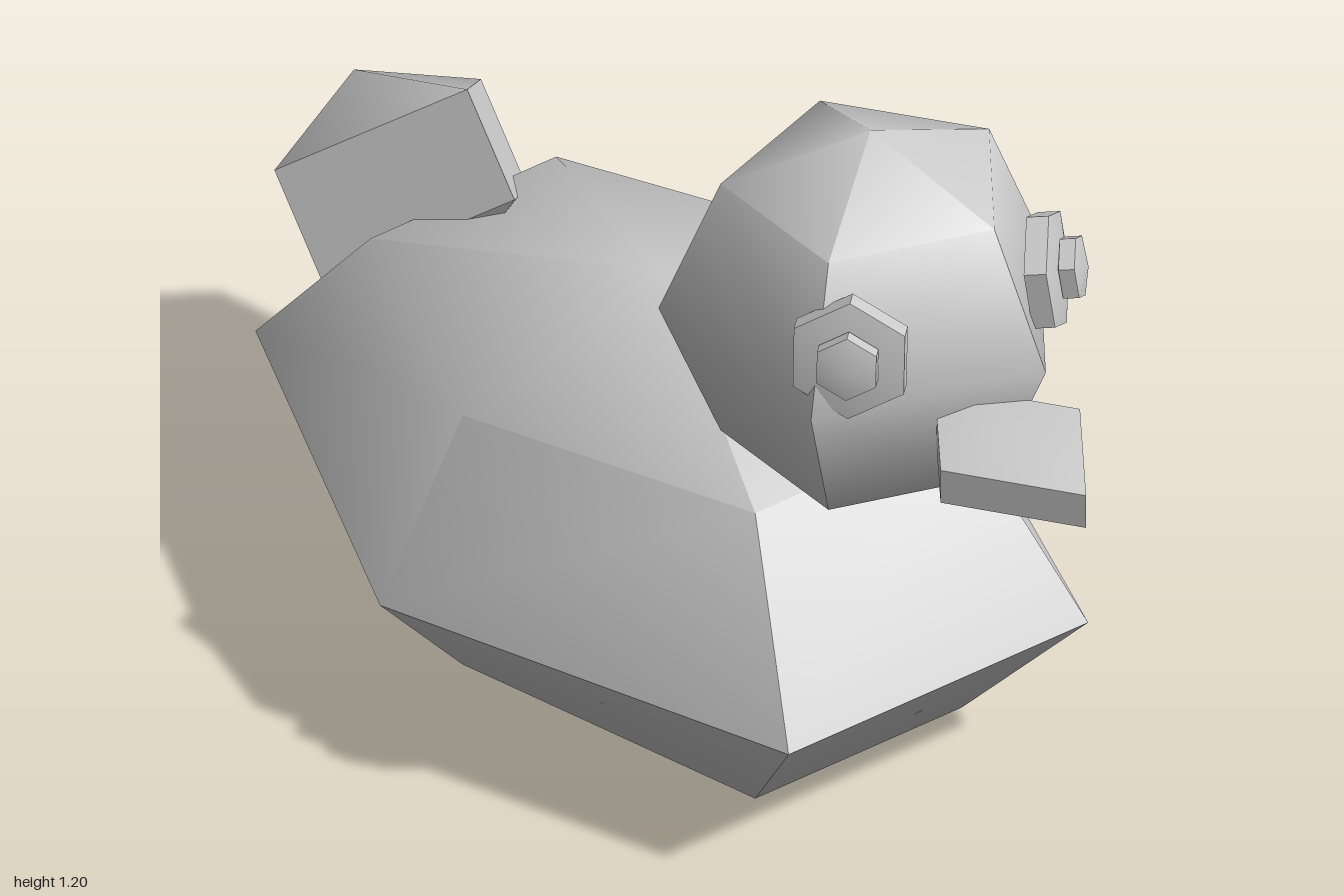
import * as THREE from 'three';
import { toCreasedNormals } from 'three/addons/utils/BufferGeometryUtils.js';

const CREASE = THREE.MathUtils.degToRad(50);

export function createModel() {
  const model = new THREE.Group();
  model.name = 'duck';
  const plainGrey = new THREE.MeshStandardMaterial({ color: 0xcccccc });
  plainGrey.name = 'plainGrey';

  function add(name, geometry, x = 0, y = 0, z = 0) {
    const mesh = new THREE.Mesh(toCreasedNormals(geometry, CREASE), plainGrey);
    mesh.name = name;
    mesh.position.set(x, y, z);
    model.add(mesh);
    return mesh;
  }

  // Coarse sphere whose rings reach the given half sizes; the poles stand at +-halfHeight
  function gem(sides, halfX, halfHeight, halfZ) {
    const ring = Math.sin(Math.PI / 3);
    return new THREE.SphereGeometry(1, sides, 3).scale(halfX / ring, halfHeight, halfZ / ring);
  }

  // Body: three six-sided rings, each given as [x, y, z] for its side, back and front corners
  function bodyGeometry() {
    const rings = [
      { side: [0.38, 0.075, -0.07], back: [0.18, 0.055, -0.56], front: [0.2, 0.023, 0.43] },
      { side: [0.54, 0.253, -0.07], back: [0.24, 0.253, -0.77], front: [0.29, 0.253, 0.63] },
      { side: [0.38, 0.54, -0.07], back: [0.18, 0.515, -0.56], front: [0.2, 0.555, 0.43] },
    ];
    const mirror = ([x, y, z]) => [-x, y, z];
    const points = [[0, 0, -0.06]];
    for (const { side, back, front } of rings) {
      points.push(side, back, mirror(back), mirror(side), mirror(front), front);
    }
    points.push([0, 0.655, -0.06]);
    const top = points.length - 1;
    const at = (ring, i) => 1 + ring * 6 + (i % 6);
    const index = [];
    for (let i = 0; i < 6; i++) {
      index.push(0, at(0, i + 1), at(0, i));
      for (let r = 0; r < 2; r++) {
        index.push(at(r, i), at(r, i + 1), at(r + 1, i + 1));
        index.push(at(r, i), at(r + 1, i + 1), at(r + 1, i));
      }
      index.push(at(2, i), at(2, i + 1), top);
    }
    const geometry = new THREE.BufferGeometry();
    geometry.setAttribute('position', new THREE.Float32BufferAttribute(points.flat(), 3));
    geometry.setIndex(index);
    return geometry;
  }
  add('body', bodyGeometry());

  // Head: five-sided ball with one corner towards +x
  add('head', new THREE.SphereGeometry(0.325, 5, 4).rotateY(Math.PI), 0, 0.876, 0.46);

  // Beak and upturned tail share the same diamond form
  add('beak', gem(4, 0.135, 0.06, 0.19), 0, 0.786, 0.81);
  add('tail', gem(4, 0.2, 0.184, 0.293), 0, 0.463, -0.715).rotation.x = -0.7;

  // Eyes: flat six-sided discs facing outwards, each with a smaller pupil on top
  for (const s of [1, -1]) {
    const out = new THREE.Vector3(s * 0.7, 0.14, 0.7).normalize();
    const side = new THREE.Vector3(-s, 0, 1).cross(out).normalize(); // along the disc, upright
    if (side.y < 0) side.negate();
    const basis = new THREE.Matrix4().makeBasis(side, out, side.clone().cross(out));
    const label = s > 0 ? 'left' : 'right';
    const eye = add(label + 'Eye', gem(6, 0.099, 0.035, 0.099), s * 0.19, 0.967, 0.655);
    const pupil = add(label + 'Pupil', gem(6, 0.053, 0.025, 0.053), s * 0.218, 0.976, 0.684);
    for (const part of [eye, pupil]) part.quaternion.setFromRotationMatrix(basis);
  }

  return model;
}
